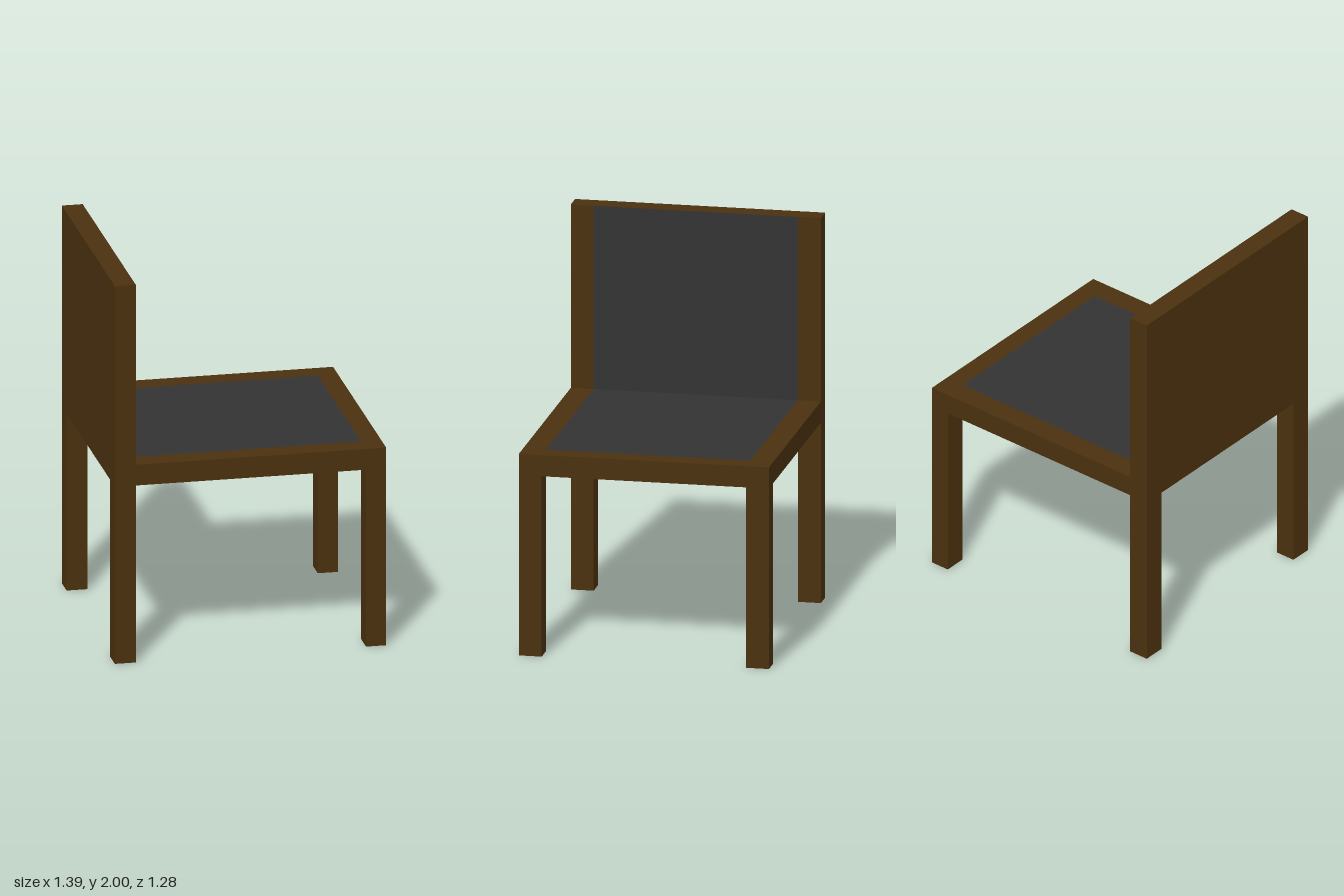
import * as THREE from 'three';

export function createModel() {
  const chair = new THREE.Group();
  chair.name = 'chair';
  const wood = new THREE.MeshStandardMaterial({ color: 0x4b310f });
  const fabric = new THREE.MeshStandardMaterial({ color: 0x333333 });

  // Box given by its lower and upper corners
  function block(name, material, [x0, y0, z0], [x1, y1, z1]) {
    const mesh = new THREE.Mesh(new THREE.BoxGeometry(x1 - x0, y1 - y0, z1 - z0), material);
    mesh.position.set((x0 + x1) / 2, (y0 + y1) / 2, (z0 + z1) / 2);
    mesh.name = name;
    chair.add(mesh);
    return mesh;
  }

  const X = 0.695, Z = 0.64;        // outer half extents
  const backX = -0.588;             // front face of the backrest
  const legX = 0.592, legZ = 0.523; // inner faces of the legs
  const under = 0.937, top = 1.047; // seat slab
  const lift = 0.001;               // keeps the inlays clear of the wood

  // Seat slab and backrest
  block('seat', wood, [backX, under, -Z], [X, top, Z]);
  block('backrest', wood, [-X, under, -Z], [backX, 2, Z]);

  // Four square legs
  for (const [side, z0, z1] of [['Front', legZ, Z], ['Rear', -Z, -legZ]]) {
    block(`backrestLeg${side}`, wood, [-X, 0, z0], [backX, under, z1]);
    block(`seatLeg${side}`, wood, [legX, 0, z0], [X, under, z1]);
  }

  // Flush upholstery inlays
  const seatPanel = new THREE.Mesh(new THREE.PlaneGeometry(legX - backX, 2 * legZ), fabric);
  seatPanel.rotation.x = -Math.PI / 2;
  seatPanel.position.set((legX + backX) / 2, top + lift, 0);
  seatPanel.name = 'seatPanel';

  const backPanel = new THREE.Mesh(new THREE.PlaneGeometry(2 * legZ, 2 - top), fabric);
  backPanel.rotation.y = Math.PI / 2;
  backPanel.position.set(backX + lift, (2 + top) / 2, 0);
  backPanel.name = 'backPanel';

  chair.add(seatPanel, backPanel);
  return chair;
}
